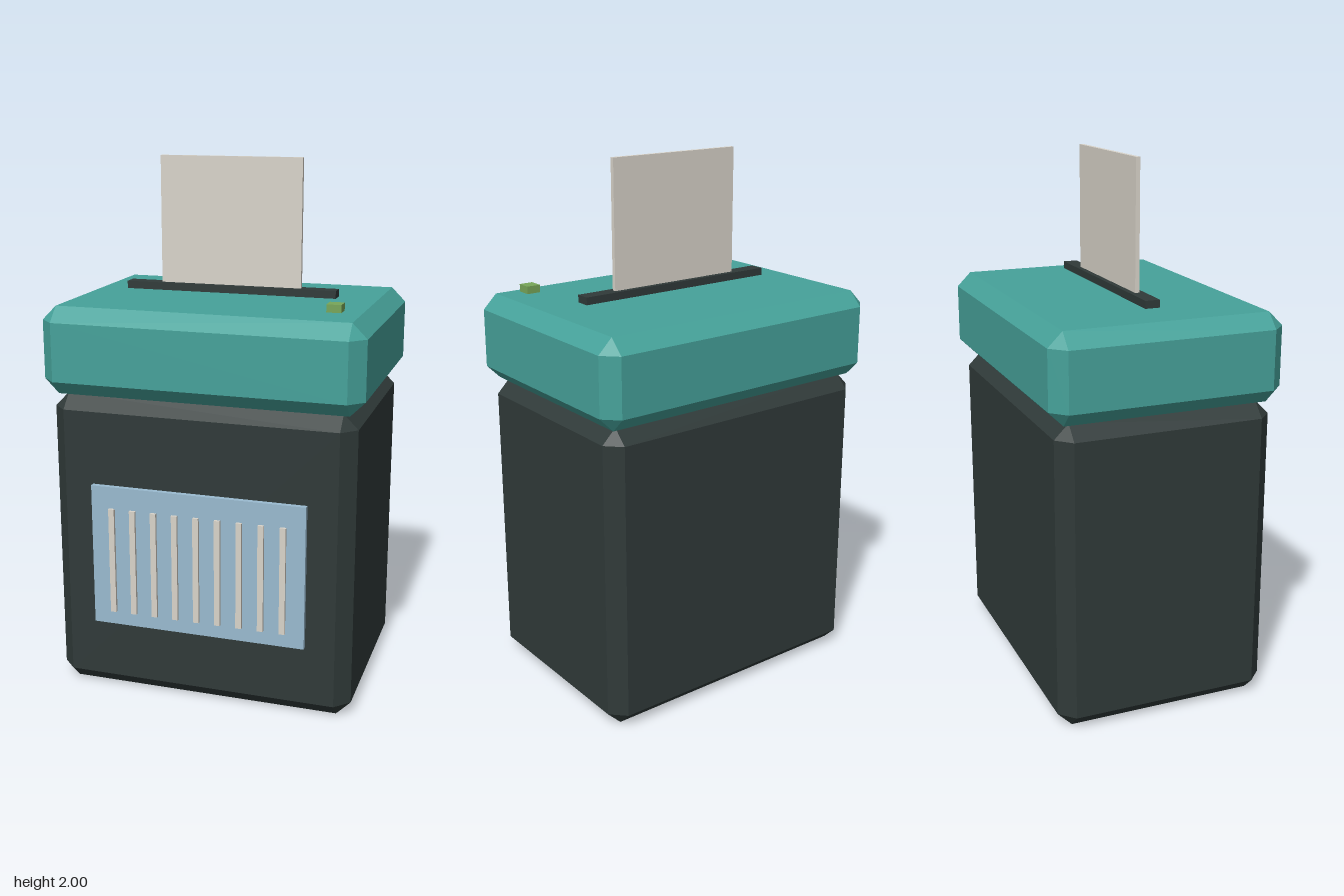
import * as THREE from 'three';
import { ConvexGeometry } from 'three/addons/geometries/ConvexGeometry.js';

const flat = (name, color) => {
  const m = new THREE.MeshStandardMaterial({ color });
  m.name = name;
  return m;
};

// Box with every edge cut at 45 degrees and triangular corners
function chamferBox(w, h, d, c) {
  const pts = [];
  for (const sx of [-1, 1]) for (const sy of [-1, 1]) for (const sz of [-1, 1]) {
    for (let axis = 0; axis < 3; axis++) {
      const inset = [c, c, c];
      inset[axis] = 0;
      pts.push(new THREE.Vector3(
        sx * (w / 2 - inset[0]), sy * (h / 2 - inset[1]), sz * (d / 2 - inset[2])));
    }
  }
  return new ConvexGeometry(pts);
}

export function createModel() {
  const model = new THREE.Group();
  model.name = 'shredder';
  const charcoal = flat('charcoal', 0x303a39);
  const teal = flat('teal', 0x46a29a);
  const glass = flat('paleBlue', 0x9abbd0);
  const paper = flat('paperGrey', 0xd9d4ca);
  const green = flat('green', 0x78a659);

  const add = (name, geometry, material, x, y, z, parent = model) => {
    const mesh = new THREE.Mesh(geometry, material);
    mesh.name = name;
    mesh.position.set(x, y, z);
    parent.add(mesh);
    return mesh;
  };
  const box = (w, h, d) => new THREE.BoxGeometry(w, h, d);

  // Bin and cutting head
  add('bin', chamferBox(1.146, 1.155, 0.818, 0.054), charcoal, 0, 0.5775, 0);
  add('head', chamferBox(1.2, 0.327, 0.873, 0.054), teal, 0, 1.3185, 0);

  // Feed slot, sheet and indicator light on top
  add('feedSlot', box(0.818, 0.028, 0.055), charcoal, 0, 1.511, 0);
  add('paperSheet', box(0.546, 0.49, 0.016), paper, 0, 1.755, 0);
  add('indicatorLight', box(0.053, 0.028, 0.055), green, 0.463, 1.511, 0.273);

  // Front window with the shredded strips
  add('window', box(0.818, 0.546, 0.02), glass, 0, 0.552, 0.419);
  const strips = new THREE.Group();
  strips.name = 'paperStrips';
  model.add(strips);
  for (let i = 0; i < 9; i++) {
    add('strip', box(0.022, 0.41, 0.012), paper, (i - 4) * 0.082, 0.537, 0.434, strips);
  }
  return model;
}
